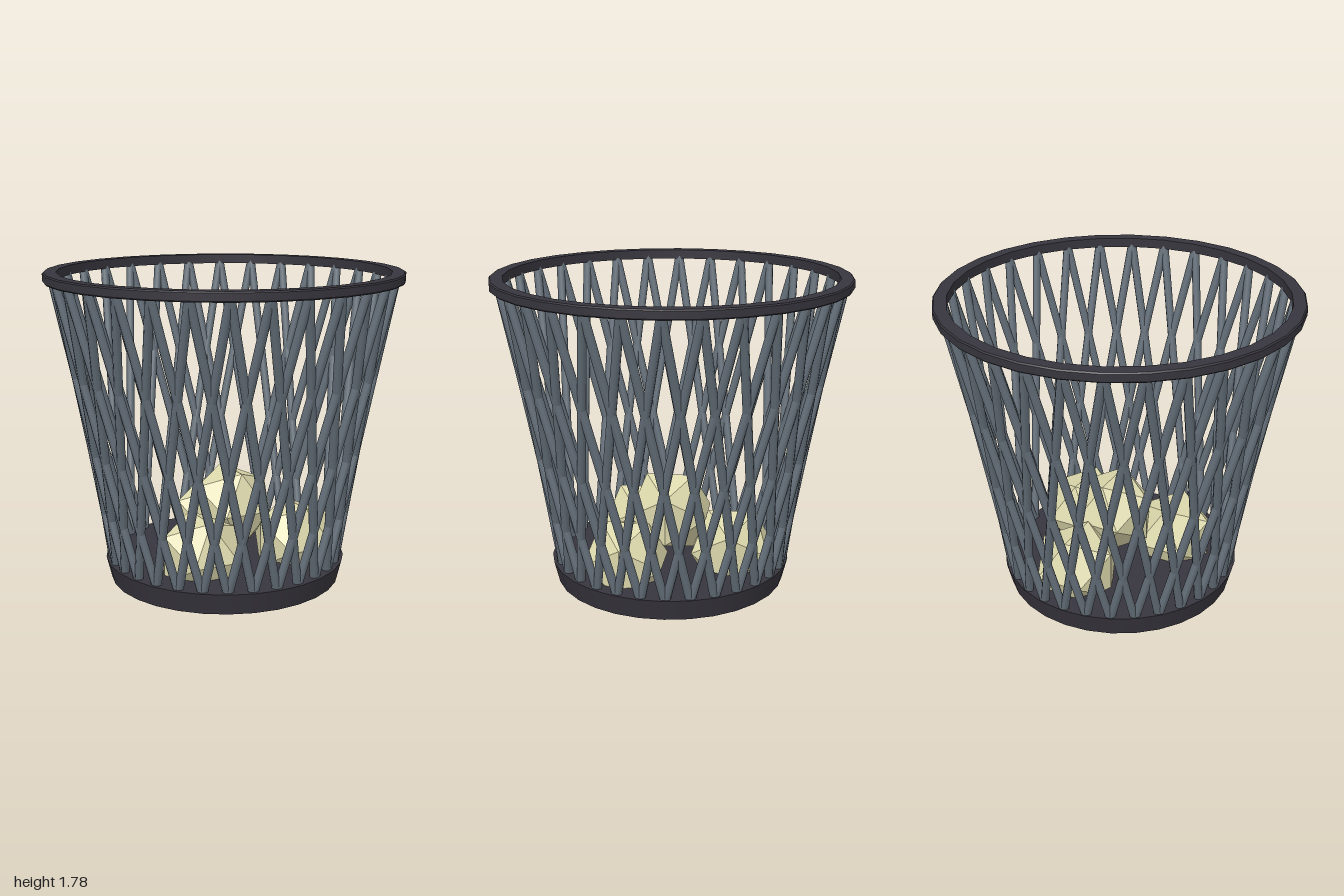
import * as THREE from 'three';

const SIDES = 30;
const RODS = 30; // rods in each leaning direction
const STEP = (Math.PI * 2) / RODS;

const darkPlastic = new THREE.MeshStandardMaterial({ name: 'dark plastic', color: 0x37353d });
const steel = new THREE.MeshStandardMaterial({ name: 'grey steel', color: 0x636e78 });
const paper = new THREE.MeshStandardMaterial({ name: 'cream paper', color: 0xdcd8ac });
paper.flatShading = true;

// Sharp-edged ring or disc: each [radius, y] edge becomes its own band
function turned(name, profile) {
  const part = new THREE.Group();
  part.name = name;
  for (let i = 0; i < profile.length - 1; i++) {
    const edge = [profile[i], profile[i + 1]].map(([r, y]) => new THREE.Vector2(r, y));
    const band = new THREE.Mesh(new THREE.LatheGeometry(edge, SIDES), darkPlastic);
    band.name = name + 'Face';
    band.rotation.y = Math.PI / 2;
    part.add(band);
  }
  return part;
}

// Straight rod between two points
function rod(a, b, name) {
  const dir = b.clone().sub(a);
  const mesh = new THREE.Mesh(new THREE.CylinderGeometry(0.024, 0.024, dir.length(), 8), steel);
  mesh.position.copy(a).add(b).multiplyScalar(0.5);
  mesh.quaternion.setFromUnitVectors(new THREE.Vector3(0, 1, 0), dir.normalize());
  mesh.name = name;
  return mesh;
}

// Point on a circle, angle measured from the front
const onCircle = (r, y, a) => new THREE.Vector3(r * Math.sin(a), y, r * Math.cos(a));

export function createModel() {
  const basket = new THREE.Group();
  basket.name = 'wasteBasket';

  // Solid base
  const base = turned('base', [[0, 0.013], [0.66, 0.013], [0.69, 0.135], [0, 0.135]]);
  base.position.set(0.003, 0, 0.007);
  basket.add(base);

  // Top rim with slightly bevelled outer edges
  basket.add(turned('rim', [
    [0.925, 1.724], [0.993, 1.724], [1, 1.731], [1, 1.771], [0.993, 1.778], [0.925, 1.778], [0.925, 1.724],
  ]));

  // Two mirrored sets of leaning rods: each runs from a shared top point
  // to the bottom point two steps along, so they cross into a lattice
  const lattice = new THREE.Group();
  lattice.name = 'lattice';
  for (const side of [-1, 1]) {
    for (let i = 0; i < RODS; i++) {
      const turn = (i + 0.5) * STEP;
      const top = onCircle(0.95, 1.745, turn);
      const bottom = onCircle(0.65, 0.11, turn + side * 2 * STEP);
      lattice.add(rod(bottom, top, 'latticeRod'));
    }
  }
  basket.add(lattice);

  // Crumpled paper balls: three on the floor, one on top
  const ballShape = new THREE.IcosahedronGeometry(0.258, 0);
  const spots = [[-0.112, 0.22, -0.355], [0.405, 0.22, 0.005], [-0.112, 0.22, 0.315], [0.037, 0.41, -0.02]];
  for (const [x, y, z] of spots) {
    const ball = new THREE.Mesh(ballShape, paper);
    ball.name = 'paperBall';
    ball.position.set(x, y, z);
    ball.rotation.y = THREE.MathUtils.degToRad(-59);
    basket.add(ball);
  }
  return basket;
}
